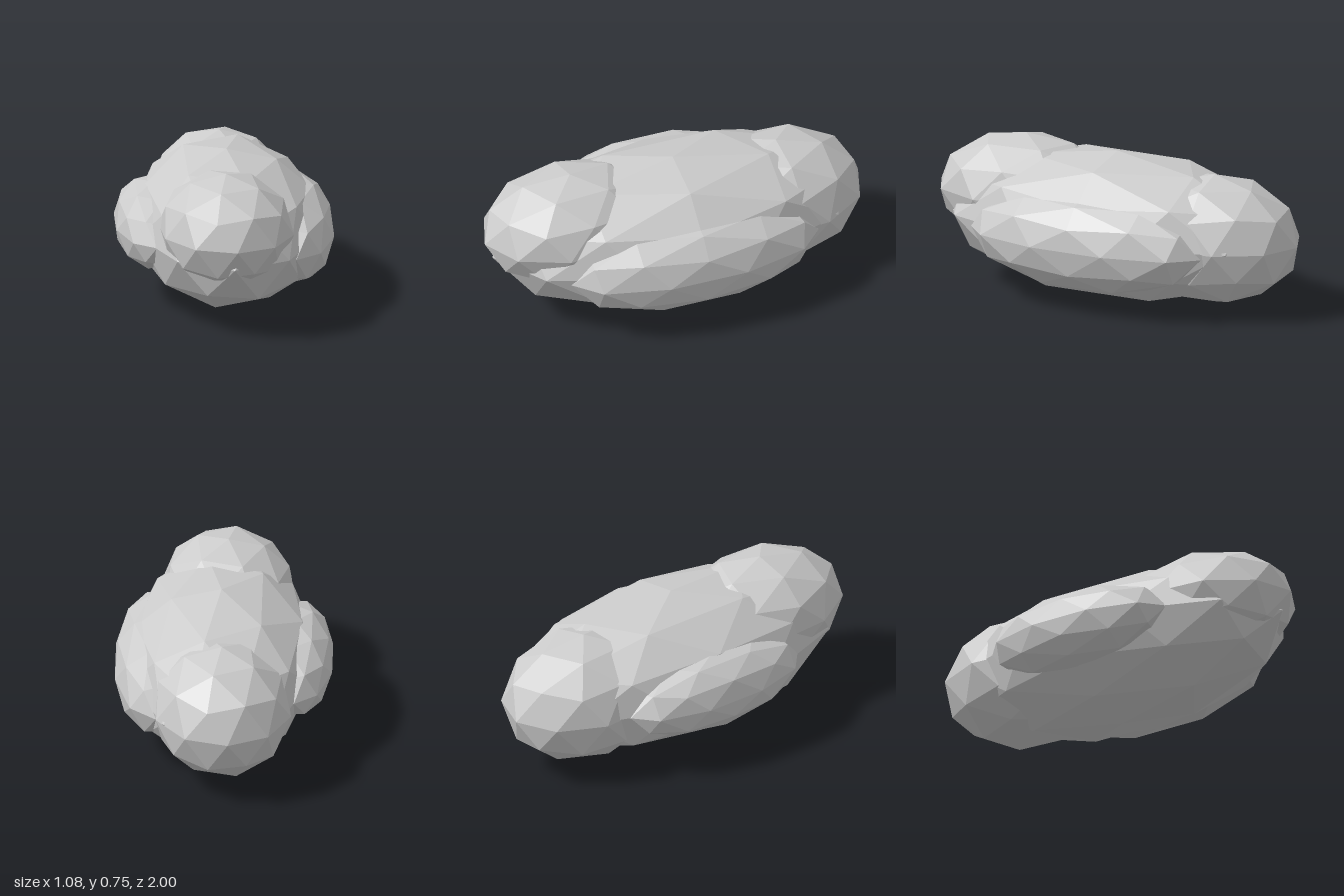
import * as THREE from 'three';

// Low-poly sphere standing on one of its corners
function makeBall() {
  const g = new THREE.IcosahedronGeometry(1, 1);
  g.rotateX(-(Math.PI / 2 - Math.atan2(1, (1 + Math.sqrt(5)) / 2)));
  g.rotateY(Math.PI / 2);
  return g;
}

export function createModel() {
  const group = new THREE.Group();
  group.name = 'cloud';
  const material = new THREE.MeshStandardMaterial({ color: 0xcccccc, flatShading: true });

  // Each puff: centre, radii, spin of the facets, turn of the stretched puff
  const puffs = [
    { name: 'bodyPuff', at: [0.01, 0.37, 0], radii: [0.473, 0.37, 0.955] },
    { name: 'frontPuff', at: [-0.016, 0.47, 0.535], radii: [0.338, 0.285, 0.465], spin: Math.PI, turn: 0.08 },
    { name: 'backPuff', at: [0, 0.365, -0.55], radii: [0.352, 0.326, 0.45], turn: 0.08 },
    { name: 'leftPuff', at: [0.326, 0.34, 0], radii: [0.22, 0.245, 0.655] },
    { name: 'rightPuff', at: [-0.357, 0.37, -0.01], radii: [0.193, 0.205, 0.52] },
  ];

  for (const { name, at, radii, spin = 0, turn = 0 } of puffs) {
    const geometry = makeBall().rotateY(spin).scale(...radii).rotateY(turn);
    geometry.computeVertexNormals();
    const mesh = new THREE.Mesh(geometry, material);
    mesh.name = name;
    mesh.position.set(...at);
    group.add(mesh);
  }
  return group;
}
